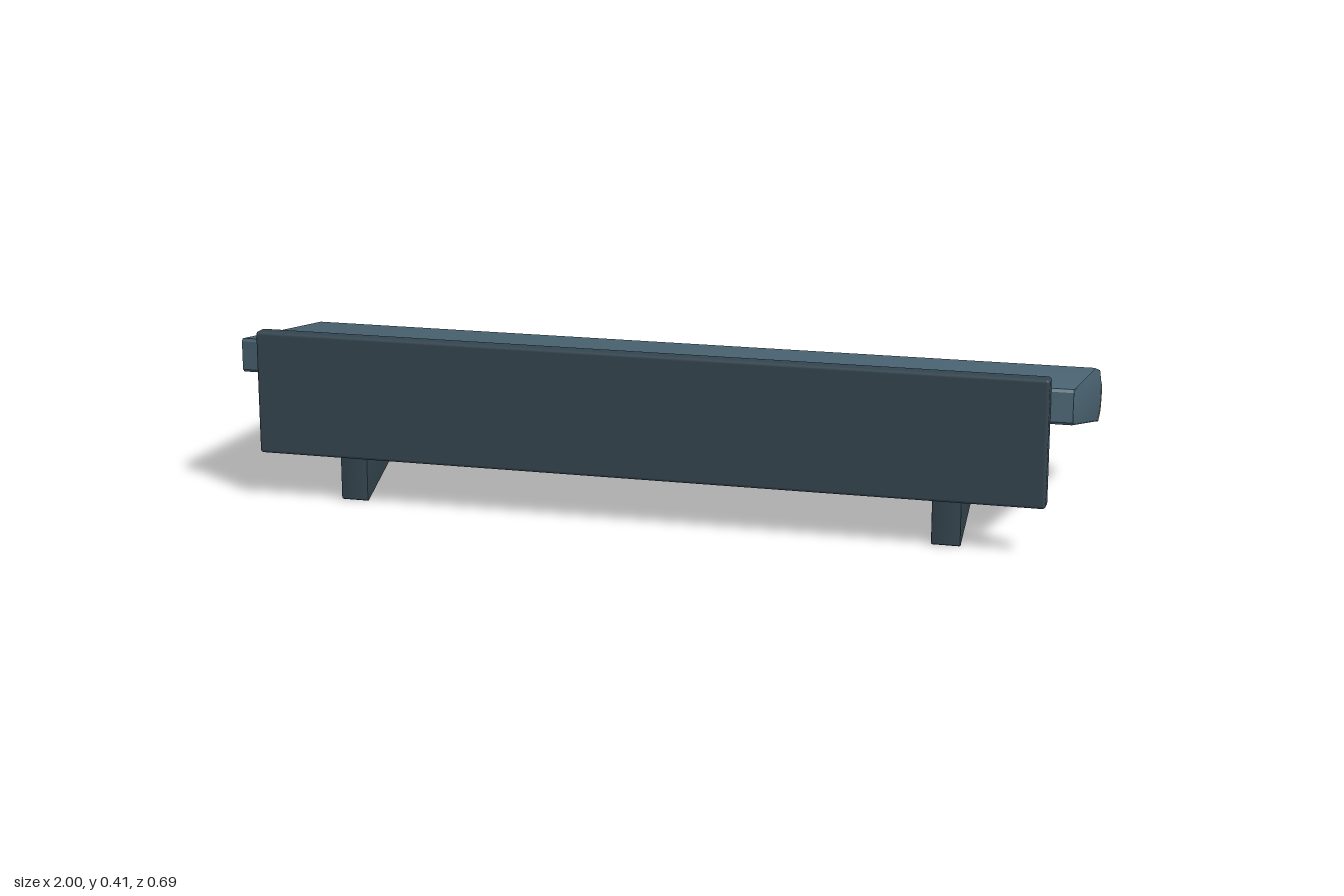
import * as THREE from 'three';
import { RoundedBoxGeometry } from 'three/addons/geometries/RoundedBoxGeometry.js';
import { toCreasedNormals } from 'three/addons/utils/BufferGeometryUtils.js';

const blue = new THREE.MeshStandardMaterial({ color: 0x4a6472 });
const dark = new THREE.MeshStandardMaterial({ color: 0x34454f });
const beige = new THREE.MeshStandardMaterial({ color: 0xb5a88f });

// Extrudes a side profile of [z, y] points across x, centred on x = 0.
function sidePart(name, points, width, bevel, material) {
  const shape = new THREE.Shape(points.map(([z, y]) => new THREE.Vector2(-z, y)));
  const geo = new THREE.ExtrudeGeometry(shape, {
    depth: width - 2 * bevel,
    bevelEnabled: bevel > 0,
    bevelSize: bevel,
    bevelThickness: bevel,
    bevelOffset: -bevel,
    bevelSegments: 2,
  });
  geo.translate(0, 0, -width / 2 + bevel);
  geo.rotateY(Math.PI / 2);
  const mesh = new THREE.Mesh(toCreasedNormals(geo, 0.5), material);
  mesh.name = name;
  return mesh;
}

export function createModel() {
  const group = new THREE.Group();
  group.name = 'shelf';

  // Sloping board with a faceted, rounded nose
  group.add(sidePart('board', [
    [0.306, 0.387], [0.311, 0.38], [0.311, 0.311], [0.304, 0.304],
    [-0.275, 0.165], [-0.325, 0.18], [-0.341, 0.212], [-0.341, 0.237],
    [-0.331, 0.253], [-0.29, 0.291], [-0.18, 0.322],
  ], 1.998, 0.003, blue));

  // Thin edge strip wrapped around the lower nose
  group.add(sidePart('edgeStrip', [
    [-0.275, 0.164], [-0.326, 0.179], [-0.342, 0.211], [-0.342, 0.237], [-0.335, 0.246],
    [-0.33, 0.241], [-0.333, 0.235], [-0.333, 0.214], [-0.32, 0.187], [-0.275, 0.173],
  ], 2, 0, beige));

  // Upright plate across the front
  const plate = new THREE.Mesh(new RoundedBoxGeometry(1.896, 0.3, 0.042, 3, 0.008), dark);
  plate.name = 'frontPlate';
  plate.position.set(0, 0.264, 0.322);
  group.add(plate);

  // Pair of triangular brackets under the board
  for (const side of [-1, 1]) {
    const bracket = sidePart(side > 0 ? 'leftBracket' : 'rightBracket', [
      [0.309, 0.31], [0.309, 0.004], [0.303, 0.001], [-0.158, 0.191], [-0.17, 0.2],
    ], 0.068, 0.003, dark);
    bracket.position.x = side * 0.72;
    group.add(bracket);
  }
  return group;
}
